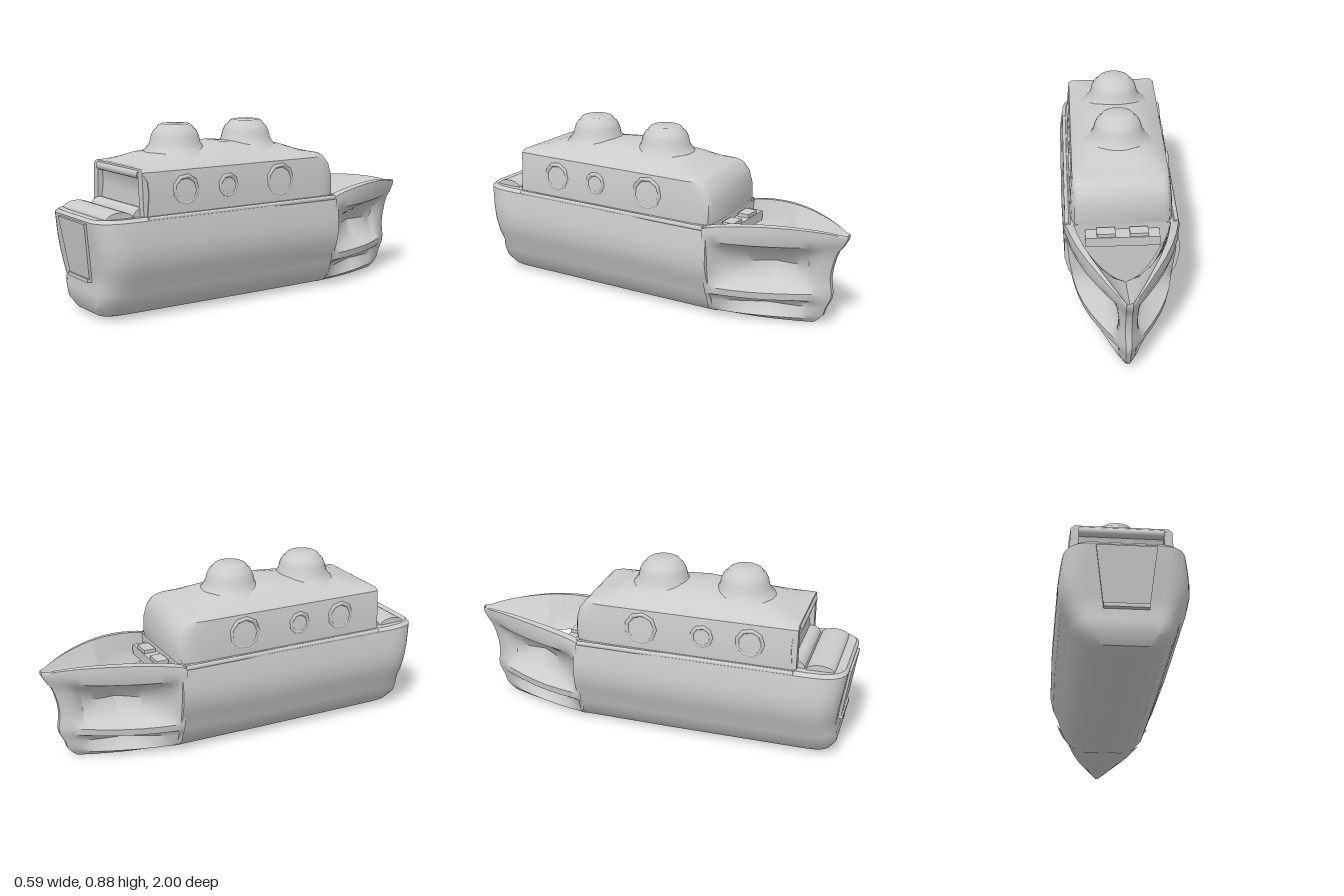
import * as THREE from 'three';
import { toCreasedNormals } from 'three/addons/utils/BufferGeometryUtils.js';

const grey = new THREE.MeshStandardMaterial({ color: 0xcccccc });

function add(parent, name, geometry, x = 0, y = 0, z = 0) {
  const mesh = new THREE.Mesh(geometry, grey);
  mesh.name = name;
  mesh.position.set(x, y, z);
  parent.add(mesh);
  return mesh;
}

// Piecewise linear lookup in [[key, value], ...]
function lookup(table, k) {
  for (let i = 1; i < table.length; i++) {
    const [k0, v0] = table[i - 1], [k1, v1] = table[i];
    if (k <= k1) return v0 + (v1 - v0) * Math.max(0, (k - k0) / (k1 - k0));
  }
  return table[table.length - 1][1];
}

// Skin over cross-sections ordered towards +z, points running up the left side
function loft(sections, crease = 0.6) {
  const n = sections[0].length, index = [];
  for (let i = 0; i < sections.length - 1; i++) {
    for (let j = 0; j < n - 1; j++) {
      const a = i * n + j, d = a + n;
      index.push(a, a + 1, d + 1, a, d + 1, d);
    }
  }
  const g = new THREE.BufferGeometry();
  g.setAttribute('position', new THREE.Float32BufferAttribute(sections.flat(2), 3));
  g.setIndex(index);
  return toCreasedNormals(g, crease);
}

const mirror = (half) => half.map(([x, y, z]) => [-x, y, z]).reverse();
const flatten = (section) => section.map(([, y, z]) => [0, y, z]);
// Mirrors half sections and closes both ends
function closedLoft(halves) {
  const full = halves.map((h) => [...h, ...mirror(h)]);
  return loft([flatten(full[0]), ...full, flatten(full[full.length - 1])]);
}

// Main hull: half width, height, stern end
const hullProfile = [
  [0, 0.01, 0.86], [0.1, 0.01, 0.87], [0.165, 0.03, 0.92], [0.21, 0.08, 0.95],
  [0.235, 0.14, 0.952], [0.247, 0.18, 0.945], [0.277, 0.24, 0.952], [0.293, 0.31, 0.962],
  [0.293, 0.37, 0.972], [0.285, 0.44, 0.982], [0.278, 0.485, 0.988], [0.258, 0.5, 0.975],
  [0.2, 0.495, 0.965], [0, 0.495, 0.96],
];
function hullGeometry() {
  const halves = [-0.38, 0.1].map((z, i) => hullProfile.map(([x, y]) => [x * (0.965 + 0.035 * i), y, z]));
  for (let i = 0; i <= 12; i++) {
    const s = Math.sin((i / 12) * Math.PI / 2);
    const narrow = 1 - 0.4 * (1 - Math.sqrt(1 - s ** 4));
    halves.push(hullProfile.map(([x, y, end]) => [x * narrow, y, 0.74 + (end - 0.74) * s]));
  }
  return closedLoft(halves);
}

// Bow: height, stem end, share of the rim width, depth of the side hollow
const bowRows = [
  [0.012, -0.83, 0, 0], [0.015, -0.84, 0.42, 0], [0.04, -0.87, 0.65, 0.08], [0.065, -0.89, 0.74, 0.4],
  [0.1, -0.9, 0.78, 0.55], [0.13, -0.915, 0.82, 0.4], [0.15, -0.925, 0.88, 0], [0.185, -0.93, 0.9, 0],
  [0.215, -0.925, 0.93, 0.45], [0.26, -0.92, 0.97, 0.74], [0.31, -0.925, 1, 0.82],
  [0.37, -0.94, 1, 0.6], [0.405, -0.955, 1, 0.3], [0.43, -0.975, 1, 0.03], [0.475, -1, 1.02, 0],
];
const rimWidth = [[-1, 0.015], [-0.96, 0.042], [-0.9, 0.082], [-0.8, 0.138], [-0.7, 0.187], [-0.6, 0.225], [-0.5, 0.252], [-0.36, 0.278]];
function bowHalf(t) {
  const zTop = -0.36 - 0.64 * t, w = lookup(rimWidth, zTop);
  const hollow = lookup([[0.02, 0], [0.09, 0.25], [0.5, 1], [0.8, 0.9], [0.93, 0.1], [1, 0]], t);
  const half = bowRows.map(([y, end, f, r]) => [w * f * (1 - r * hollow), y, -0.36 + (end + 0.36) * t]);
  // Raised rim, then the inner slope down to the open well
  const rise = 0.04 * Math.sin(Math.PI * Math.min(1, t * 1.05)) ** 0.7;
  const edge = 0.2 * Math.max(0, 1 - t / 0.48) ** 0.6;
  const low = lookup([[0, 0.37], [0.48, 0.37], [1, 0.48]], t);
  const from = w * 0.86, top = 0.495 + rise;
  half.push([w, top - 0.005, zTop], [from, top, zTop]);
  for (const s of [0.33, 0.66, 1]) {
    half.push([from + (edge - from) * s, top + (low - top) * Math.sin(s * Math.PI / 2), zTop]);
  }
  return half;
}

// Cabin: half width, height, front end, aft end, share of the roof crown
const cabinProfile = [
  [0, 0.46, -0.37, 0.73, 0], [0.25, 0.46, -0.37, 0.73, 0], [0.252, 0.52, -0.38, 0.73, 0],
  [0.247, 0.6, -0.38, 0.72, 0], [0.242, 0.66, -0.365, 0.725, 0], [0.236, 0.7, -0.335, 0.75, 0],
  [0.218, 0.716, -0.315, 0.748, 0], [0.18, 0.72, -0.3, 0.74, 0.35], [0.13, 0.72, -0.3, 0.735, 0.8],
  [0.07, 0.72, -0.3, 0.73, 0.97], [0, 0.72, -0.3, 0.73, 1],
];
const crown = [[0, 0], [0.06, 0.015], [0.14, 0.045], [0.25, 0.06], [0.5, 0.08], [0.75, 0.055], [0.87, 0.04], [0.95, 0.015], [1, 0]];
function cabinGeometry() {
  const halves = [];
  for (let i = 0; i <= 32; i++) {
    const t = (1 - Math.cos((i / 32) * Math.PI)) / 2;
    const narrow = lookup([[0, 0.84], [0.01, 0.92], [0.04, 0.98], [0.08, 1], [1, 1]], t);
    halves.push(cabinProfile.map(([x, y, front, aft, c]) =>
      [x * narrow, y + c * lookup(crown, t), front + (aft - front) * t]));
  }
  return closedLoft(halves);
}

// Trapezoid plate standing on y = 0
function plate(bottom, top, height, depth) {
  const corners = [[-bottom, 0], [bottom, 0], [top, height], [-top, height]];
  const shape = new THREE.Shape(corners.map((p) => new THREE.Vector2(...p)));
  return new THREE.ExtrudeGeometry(shape, { depth, bevelEnabled: false });
}

export function createModel() {
  const model = new THREE.Group();
  model.name = 'ship';

  add(model, 'hull', hullGeometry());

  // Bow, one shell per side, closed at the stem
  const bow = [flatten(bowHalf(1))];
  for (let i = 40; i >= 0; i--) bow.push(bowHalf(i / 40));
  add(model, 'bowLeft', loft(bow));
  add(model, 'bowRight', loft(bow.map(mirror)));

  // Ledge between well and cabin
  add(model, 'foreLedge', new THREE.BoxGeometry(0.36, 0.05, 0.09), 0, 0.445, -0.41);
  for (const x of [-0.08, 0.08]) add(model, 'foreStep', new THREE.BoxGeometry(0.09, 0.025, 0.06), x, 0.475, -0.42);

  add(model, 'cabin', cabinGeometry());

  // Frame around the aft wall
  for (const s of [-1, 1]) {
    const post = add(model, 'aftPost', new THREE.BoxGeometry(0.04, 0.22, 0.04), s * 0.222, 0.59, 0.73);
    post.rotation.z = s * 0.06;
  }

  // Rounded bars across the stern: lintel, sill and raised deck ridge
  const bars = [['aftLintel', 0.4, 0.69, 0.735, 0.022, 0.024], ['aftSill', 0.42, 0.49, 0.74, 0.045, 0.045],
    ['deckRidge', 0.44, 0.495, 0.86, 0.032, 0.07]];
  for (const [name, length, y, z, ry, rz] of bars) {
    const bar = add(model, name, new THREE.CylinderGeometry(1, 1, length, 20), 0, y, z);
    bar.rotation.z = Math.PI / 2;
    bar.scale.set(ry, 1, rz);
  }

  // Stern door, leaning with the transom
  const door = add(model, 'sternDoor', plate(0.1, 0.135, 0.28, 0.02), 0, 0.2, 0.94);
  door.rotation.x = 0.14;
  add(model, 'doorSill', new THREE.BoxGeometry(0.2, 0.018, 0.03), 0, 0.2, 0.955);

  // Funnels with flared feet
  const funnel = [[0.18, 0.74], [0.145, 0.77], [0.125, 0.8], [0.117, 0.835], [0.105, 0.86], [0.092, 0.87],
    [0.082, 0.885], [0.07, 0.892], [0, 0.89]].map((p) => new THREE.Vector2(...p)).reverse();
  for (const z of [0.01, 0.43]) {
    add(model, 'funnel', toCreasedNormals(new THREE.LatheGeometry(funnel.slice().reverse(), 28), 0.7), 0, 0, z);
  }

  for (const s of [-1, 1]) {
    // Round windows along the cabin side
    for (const [z, r] of [[0.52, 0.065], [0.28, 0.05], [-0.03, 0.075]]) {
      const ring = add(model, 'windowFrame', new THREE.TorusGeometry(r, 0.011, 6, 9), s * 0.242, 0.605, z);
      ring.rotation.y = s * Math.PI / 2;
      ring.rotation.x = -0.04;
    }
    // Gunwale
    const rail = add(model, 'gunwale', new THREE.CylinderGeometry(0.012, 0.012, 1.1, 8), s * 0.267, 0.489, 0.19);
    rail.rotation.x = Math.PI / 2;
  }
  return model;
}
